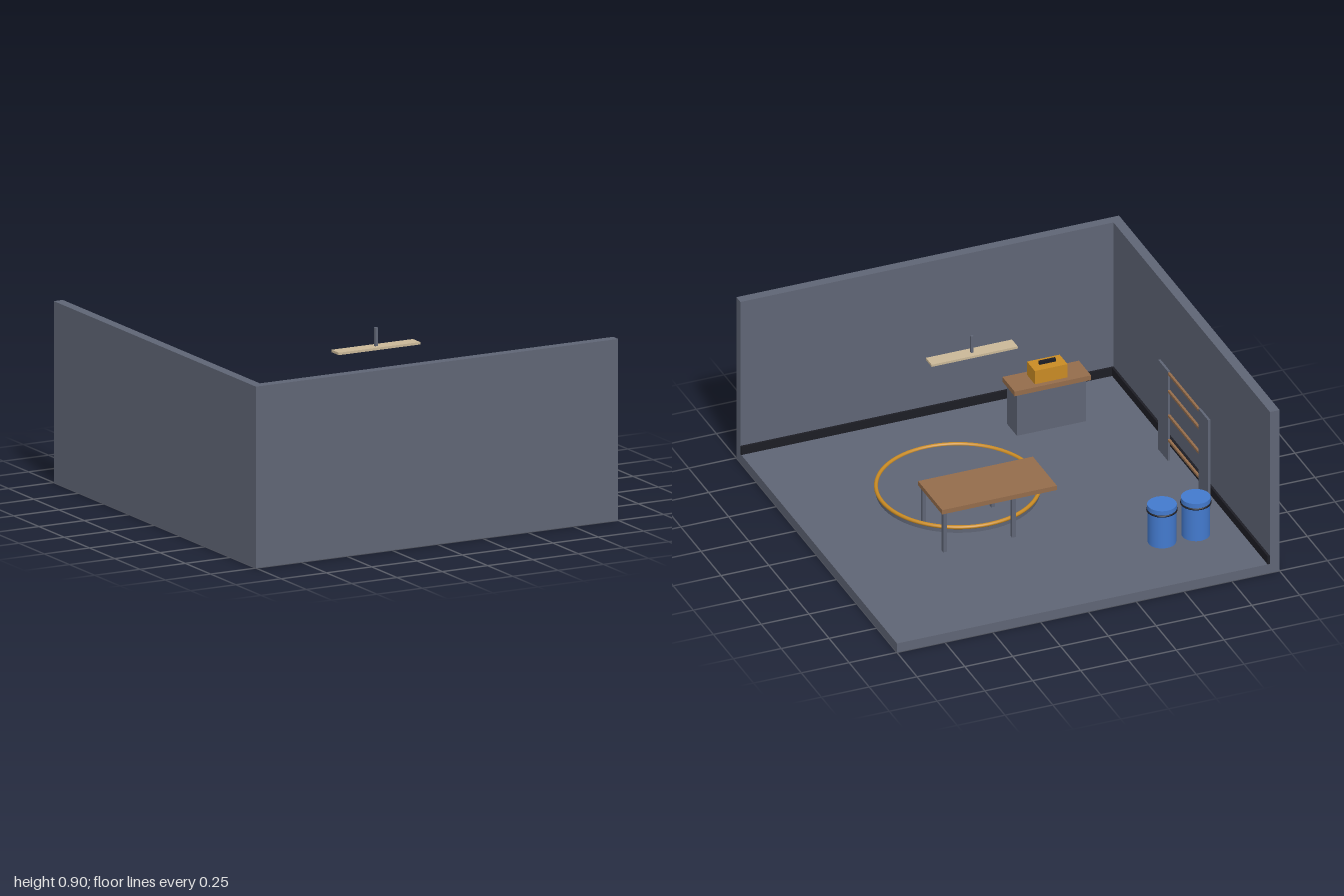
import * as THREE from 'three';

export function createModel() {
  const model = new THREE.Group();
  model.name = 'workshopRoom';

  const material = (name, color) => {
    const m = new THREE.MeshStandardMaterial({ color });
    m.name = name;
    return m;
  };
  const slate = material('slate', 0x5f6575);
  const black = material('black', 0x1c1d24);
  const wood = material('wood', 0x946c4b);
  const amber = material('amber', 0xc98b24);
  const blue = material('blue', 0x437ace);
  const cream = material('cream', 0xcab898);

  const group = (name, parent = model) => {
    const g = new THREE.Group();
    g.name = name;
    parent.add(g);
    return g;
  };
  const add = (parent, name, geometry, mat, x = 0, y = 0, z = 0) => {
    const mesh = new THREE.Mesh(geometry, mat);
    mesh.name = name;
    mesh.position.set(x, y, z);
    parent.add(mesh);
    return mesh;
  };
  // Box given by its extents on each axis
  const box = (parent, name, mat, [x0, x1], [y0, y1], [z0, z1]) =>
    add(parent, name, new THREE.BoxGeometry(x1 - x0, y1 - y0, z1 - z0), mat,
      (x0 + x1) / 2, (y0 + y1) / 2, (z0 + z1) / 2);
  const cylinder = (parent, name, mat, r, y0, y1, x, z, sides = 32) =>
    add(parent, name, new THREE.CylinderGeometry(r, r, y1 - y0, sides), mat, x, (y0 + y1) / 2, z);
  const ring = (parent, name, mat, r, tube, x, y, z, sides) => {
    const geometry = new THREE.TorusGeometry(r, tube, 10, sides).rotateX(Math.PI / 2);
    return add(parent, name, geometry, mat, x, y, z);
  };

  // Floor, two walls and their skirting
  const room = group('room');
  box(room, 'floor', slate, [-1, 1], [0, 0.05], [-1, 1]);
  box(room, 'frontWall', slate, [-1, 1], [0.05, 0.9], [0.95, 1]);
  box(room, 'sideWall', slate, [-1, -0.95], [0.05, 0.9], [-1, 0.95]);
  box(room, 'frontSkirting', black, [-0.95, 1], [0.05, 0.095], [0.938, 0.95]);
  box(room, 'sideSkirting', black, [-0.95, -0.938], [0.05, 0.095], [-1, 0.938]);

  // Round platform with an amber rim
  const platform = group('platform');
  cylinder(platform, 'platformDisc', slate, 0.397, 0.05, 0.078, 0.17, 0.22, 64);
  ring(platform, 'platformRim', amber, 0.395, 0.01, 0.17, 0.08, 0.22, 72);

  // Work table with legs set towards one end
  const table = group('workTable');
  box(table, 'tableTop', wood, [-0.13, 0.47], [0.27, 0.294], [-0.3, 0]);
  for (const x of [0.09, 0.45]) {
    for (const z of [-0.28, -0.02]) {
      box(table, 'tableLeg', slate, [x - 0.01, x + 0.01], [0.05, 0.27], [z - 0.01, z + 0.01]);
    }
  }

  // Small bench
  const bench = group('bench');
  box(bench, 'benchTop', wood, [-0.675, -0.275], [0.286, 0.312], [0.573, 0.725]);
  box(bench, 'benchBase', slate, [-0.655, -0.295], [0.05, 0.286], [0.592, 0.714]);

  // Toolbox on the bench
  const toolbox = group('toolbox');
  box(toolbox, 'toolboxBody', amber, [-0.563, -0.392], [0.312, 0.386], [0.6, 0.698]);
  box(toolbox, 'toolboxHandle', black, [-0.52, -0.435], [0.388, 0.404], [0.642, 0.657]);

  // Thin shelf rack beside the wall
  const rack = group('shelfRack');
  for (const z of [-0.41, 0.092]) {
    box(rack, 'rackUpright', slate, [-0.886, -0.874], [0.05, 0.55], [z, z + 0.12]);
  }
  for (const y of [0.165, 0.302, 0.439, 0.538]) {
    box(rack, 'rackShelf', wood, [-0.886, -0.874], [y - 0.006, y + 0.006], [-0.29, 0.092]);
  }

  // Pair of lidded barrels
  for (const x of [-0.73, -0.553]) {
    const barrel = group('barrel');
    cylinder(barrel, 'barrelBody', blue, 0.069, 0.05, 0.235, x, -0.6);
    cylinder(barrel, 'barrelLid', blue, 0.072, 0.235, 0.26, x, -0.6);
    ring(barrel, 'barrelBand', black, 0.07, 0.006, x, 0.23, -0.6, 32);
  }

  // Hanging lamp
  const lamp = group('lamp');
  box(lamp, 'lampPanel', cream, [-0.13, 0.32], [0.796, 0.808], [0.188, 0.26]);
  box(lamp, 'lampRod', slate, [0.088, 0.102], [0.808, 0.9], [0.217, 0.231]);

  return model;
}
